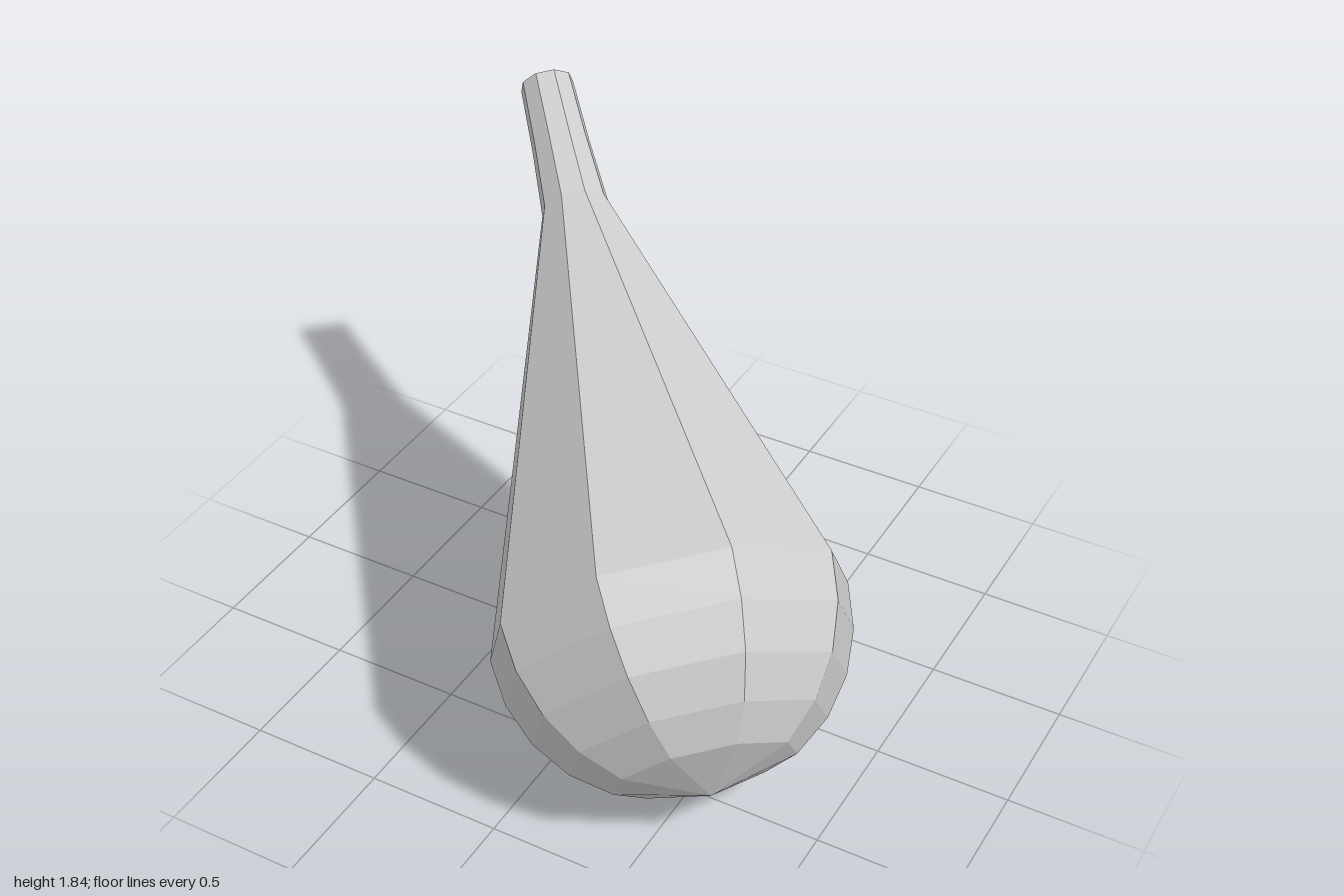
import * as THREE from 'three';

const SIDES = 9;
const R = 0.648; // bulb radius

export function createModel() {
  const group = new THREE.Group();
  group.name = 'bulbWithNeck';

  // Profile from the pole of the round end up to the open neck
  const profile = [new THREE.Vector2(0, -R)];
  for (const deg of [60, 45, 30, 15, 0]) {
    const a = THREE.MathUtils.degToRad(deg);
    profile.push(new THREE.Vector2(R * Math.cos(a), -R * Math.sin(a)));
  }
  profile.push(
    new THREE.Vector2(0.126, 1.58),
    new THREE.Vector2(0.109, 1.845),
    new THREE.Vector2(0.1, 2.1),
  );

  const material = new THREE.MeshStandardMaterial({
    color: 0xcccccc,
    flatShading: true,
    side: THREE.DoubleSide,
  });
  const body = new THREE.Mesh(new THREE.LatheGeometry(profile, SIDES), material);
  body.name = 'hollowBulbBody';

  // Lean the body so the neck points up, back and to the side
  const axis = new THREE.Vector3(-0.585, 0.533, -0.609).normalize();
  const out = new THREE.Vector3(0.317, 0.534, 0.171);
  out.addScaledVector(axis, -out.dot(axis)).normalize();
  const across = new THREE.Vector3().crossVectors(axis, out);
  body.quaternion.setFromRotationMatrix(new THREE.Matrix4().makeBasis(across, axis, out));
  body.position.set(0.333, 0.656, 0.357);

  group.add(body);
  return group;
}
